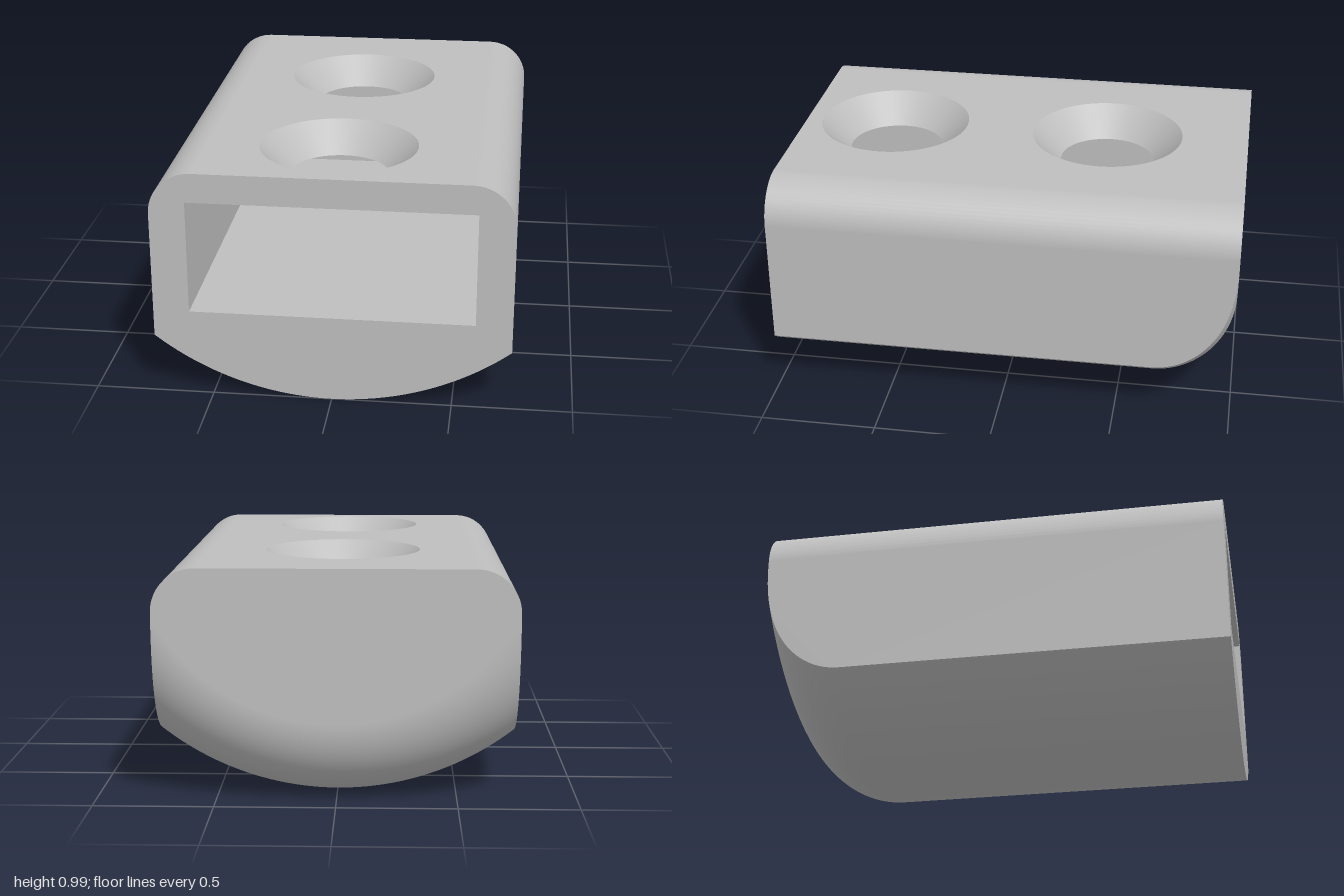
import * as THREE from 'three';
import { ParametricGeometry } from 'three/addons/geometries/ParametricGeometry.js';

const W = 0.743, TOP = 0.985, CORNER = 0.18; // half width, height, top corner radius
const BELLY = 1.197, FILLET = 0.345;         // belly arc radius, rear fillet radius
const CAV = { x: 0.592, y0: 0.374, y1: 0.86, back: -0.83 };
const HOLES = { x: -0.013, zs: [-0.374, 0.597], rTop: 0.334, rLow: 0.208 };

// Height of the belly at x, with the arc shrunk by inset
const bellyY = (x, inset) => BELLY - Math.sqrt((BELLY - inset) ** 2 - x * x);

// Stations from the rear face round the fillet, then straight to the front
const STEPS = 25, BEND = (STEPS - 1) / STEPS;
function station(v) {
  if (v > BEND) return { z: THREE.MathUtils.mapLinear(v, BEND, 1, FILLET - 1, 1), inset: 0 };
  const a = (v / BEND) * Math.PI / 2;
  return { z: -1 + FILLET * (1 - Math.cos(a)), inset: FILLET * (1 - Math.sin(a)) };
}

// Outline of the block across its width
function section(inset) {
  const s = new THREE.Shape();
  const n = 48;
  for (let i = 0; i <= n; i++) {
    const x = -W + (2 * W * i) / n;
    if (i) s.lineTo(x, bellyY(x, inset)); else s.moveTo(x, bellyY(x, inset));
  }
  s.lineTo(W, TOP - CORNER);
  s.absarc(W - CORNER, TOP - CORNER, CORNER, 0, Math.PI / 2, false);
  s.lineTo(CORNER - W, TOP);
  s.absarc(CORNER - W, TOP - CORNER, CORNER, Math.PI / 2, Math.PI, false);
  s.closePath();
  return s;
}

function rect(x0, y0, x1, y1, Type = THREE.Shape) {
  return new Type([[x0, y0], [x1, y0], [x1, y1], [x0, y1]].map(p => new THREE.Vector2(...p)));
}

// Flat sheet with the two round holes; dir is the sign of z along the shape's y
function piercedSheet(halfX, zBack, radius, dir) {
  const s = rect(-halfX, dir * zBack, halfX, dir);
  for (const z of HOLES.zs) {
    s.holes.push(new THREE.Path().absarc(HOLES.x, dir * z, radius, 0, Math.PI * 2, true));
  }
  return new THREE.ShapeGeometry(s, 32).rotateX(dir * Math.PI / 2);
}

export function createModel() {
  const group = new THREE.Group();
  const grey = new THREE.MeshStandardMaterial({ color: 0xbebebe });
  grey.name = 'grey';
  const add = (name, geometry, x = 0, y = 0, z = 0) => {
    const mesh = new THREE.Mesh(geometry, grey);
    mesh.name = name;
    mesh.position.set(x, y, z);
    group.add(mesh);
  };

  // Curved belly running into the rounded rear
  add('belly', new ParametricGeometry((u, v, p) => {
    const { z, inset } = station(v);
    const x = W * (2 * u - 1);
    p.set(x, bellyY(x, inset), z);
  }, 48, STEPS));

  // End faces
  const front = section(0);
  front.holes.push(rect(-CAV.x, CAV.y0, CAV.x, CAV.y1, THREE.Path));
  add('frontFace', new THREE.ShapeGeometry(front, 16), 0, 0, 1);
  add('rearFace', new THREE.ShapeGeometry(section(FILLET), 16).rotateY(Math.PI), 0, 0, -1);

  // Top with its countersunk holes
  add('top', piercedSheet(W - CORNER, -1, HOLES.rTop, -1), 0, TOP);
  for (const z of HOLES.zs) {
    add('countersink', new THREE.LatheGeometry([
      new THREE.Vector2(HOLES.rTop, TOP),
      new THREE.Vector2(HOLES.rLow, CAV.y1),
    ], 64), HOLES.x, 0, z);
  }

  const depth = 1 - CAV.back, midZ = (1 + CAV.back) / 2;
  const tall = CAV.y1 - CAV.y0, midY = (CAV.y1 + CAV.y0) / 2;
  for (const s of [1, -1]) {
    // Outer wall, cut along the rear fillet
    const pts = [];
    for (let i = 0; i <= STEPS; i++) {
      const { z, inset } = station(i / STEPS);
      pts.push(new THREE.Vector2(-s * z, bellyY(W, inset)));
    }
    pts.push(new THREE.Vector2(-s, TOP - CORNER), new THREE.Vector2(s, TOP - CORNER));
    add('sideWall', new THREE.ShapeGeometry(new THREE.Shape(pts)).rotateY(s * Math.PI / 2), s * W);

    // Rounded top corner
    const start = s > 0 ? Math.PI / 2 : Math.PI;
    add('topCorner', new THREE.CylinderGeometry(CORNER, CORNER, 2, 16, 1, true, start, Math.PI / 2)
      .rotateX(Math.PI / 2), s * (W - CORNER), TOP - CORNER);

    add('cavitySide', new THREE.PlaneGeometry(depth, tall).rotateY(-s * Math.PI / 2), s * CAV.x, midY, midZ);
  }

  // Remaining walls of the cavity
  add('cavityCeiling', piercedSheet(CAV.x, CAV.back, HOLES.rLow, 1), 0, CAV.y1);
  add('cavityFloor', new THREE.PlaneGeometry(2 * CAV.x, depth).rotateX(-Math.PI / 2), 0, CAV.y0, midZ);
  add('cavityRear', new THREE.PlaneGeometry(2 * CAV.x, tall), 0, midY, CAV.back);
  return group;
}
